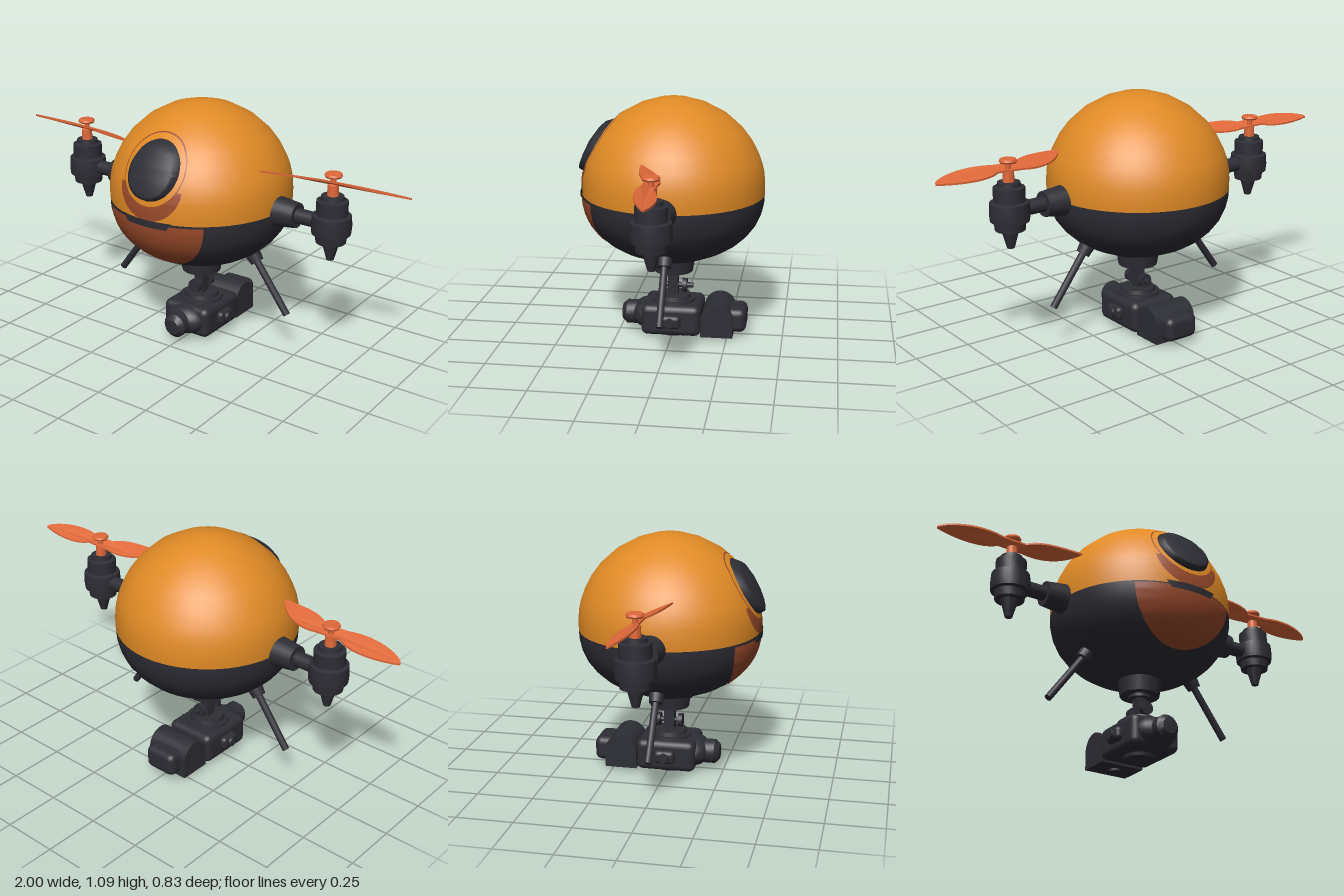
import * as THREE from 'three';
import { RoundedBoxGeometry } from 'three/addons/geometries/RoundedBoxGeometry.js';
import { toCreasedNormals } from 'three/addons/utils/BufferGeometryUtils.js';

const material = (name, color, side = THREE.FrontSide) => {
  const m = new THREE.MeshStandardMaterial({ color, side });
  m.name = name;
  return m;
};

// body outline as [radius, height]
const LOWER = [[0, 0.352], [0.08, 0.358], [0.158, 0.375], [0.24, 0.41], [0.294, 0.443], [0.338, 0.483],
  [0.372, 0.528], [0.393, 0.575], [0.404, 0.622], [0.406, 0.66]];
const UPPER = [[0.406, 0.66], [0.407, 0.7], [0.403, 0.75], [0.394, 0.79], [0.38, 0.83], [0.35, 0.89],
  [0.308, 0.947], [0.236, 1.012], [0.147, 1.06], [0.07, 1.083], [0, 1.09]];
const OUTLINE = [...LOWER, ...UPPER.slice(1)];

function radiusAt(y) {
  let i = 1;
  while (i < OUTLINE.length - 1 && OUTLINE[i][1] < y) i++;
  const [r0, y0] = OUTLINE[i - 1], [r1, y1] = OUTLINE[i];
  return r0 + (r1 - r0) * (y - y0) / (y1 - y0);
}

const lathe = (points, segments) => toCreasedNormals(
  new THREE.LatheGeometry(points.map(([r, y]) => new THREE.Vector2(r, y)), segments), 0.6);

// sheet between two outlines in the front plane, wrapped onto the body
function bodyPatch(inner, outer, lift, nt = 48, ns = 10) {
  const pos = [], idx = [];
  for (let j = 0; j <= ns; j++) for (let i = 0; i <= nt; i++) {
    const s = j / ns, a = inner(i / nt), b = outer(i / nt);
    const x = a[0] + (b[0] - a[0]) * s, y = a[1] + (b[1] - a[1]) * s;
    const z = Math.sqrt(Math.max(0, radiusAt(y) ** 2 - x * x));
    pos.push(x, y, z + lift(s));
    if (i < nt && j < ns) {
      const k = j * (nt + 1) + i, m = k + nt + 1;
      idx.push(k, m, k + 1, k + 1, m, m + 1);
    }
  }
  const g = new THREE.BufferGeometry();
  g.setAttribute('position', new THREE.Float32BufferAttribute(pos, 3));
  g.setIndex(idx);
  g.computeVertexNormals();
  return g;
}

const arc = (cx, cy, rx, ry, from, to) => t => {
  const a = THREE.MathUtils.degToRad(from + (to - from) * t);
  return [cx + rx * Math.cos(a), cy + ry * Math.sin(a)];
};
const line = (x0, x1, y) => t => [x0 + (x1 - x0) * t, y];

// two-bladed propeller lying around its hub, pitched across its width
function propellerGeometry() {
  const s = new THREE.Shape();
  s.moveTo(-0.3, 0.088);
  s.bezierCurveTo(-0.26, 0.02, -0.17, -0.03, -0.06, -0.02);
  s.lineTo(0.06, -0.02);
  s.bezierCurveTo(0.12, -0.06, 0.25, -0.05, 0.34, -0.026);
  s.bezierCurveTo(0.36, -0.01, 0.22, 0.065, 0.06, 0.03);
  s.lineTo(-0.05, 0.03);
  s.bezierCurveTo(-0.1, 0.075, -0.2, 0.08, -0.3, 0.088);
  const g = new THREE.ExtrudeGeometry(s, { depth: 0.008, bevelEnabled: false, curveSegments: 14 });
  g.rotateX(Math.PI / 2);
  const p = g.attributes.position;
  for (let i = 0; i < p.count; i++) {
    const axis = p.getX(i) < 0 ? -p.getX(i) * 0.2 : 0;
    p.setY(i, p.getY(i) + 0.35 * (p.getZ(i) - axis));
  }
  g.computeVertexNormals();
  return g;
}

export function createModel() {
  const root = new THREE.Group();
  const orange = material('shell orange', 0xe08a25);
  const dark = material('charcoal', 0x2d2d35);
  const darkSheet = material('charcoal sheet', 0x2d2d35, THREE.DoubleSide);
  const rust = material('rust panel', 0x9a4a2a, THREE.DoubleSide);
  const coral = material('propeller coral', 0xe0693a, THREE.DoubleSide);

  function add(parent, name, geometry, mat, x = 0, y = 0, z = 0) {
    const m = new THREE.Mesh(geometry, mat);
    m.name = name;
    m.position.set(x, y, z);
    parent.add(m);
    return m;
  }
  const cyl = (top, bottom, h, n = 24) => new THREE.CylinderGeometry(top, bottom, h, n);

  // body shells
  const smoothLathe = pts => new THREE.LatheGeometry(pts.map(p => new THREE.Vector2(...p)), 48);
  add(root, 'upperShell', smoothLathe(UPPER), orange);
  add(root, 'lowerShell', smoothLathe(LOWER), dark);

  // front face
  add(root, 'eyeLens', bodyPatch(() => [0, 0.865], arc(0, 0.865, 0.124, 0.118, 0, 360),
    s => (s > 0.95 ? 0 : 0.024)), darkSheet);
  add(root, 'eyeRim', bodyPatch(arc(0, 0.865, 0.146, 0.14, 0, 360), arc(0, 0.865, 0.151, 0.145, 0, 360),
    () => 0.003, 48, 1), rust);
  add(root, 'crescentPanel', bodyPatch(arc(0, 0.865, 0.146, 0.14, 207, 333), arc(0, 0.8, 0.155, 0.138, 180, 360),
    () => 0.004), rust);
  add(root, 'chinPanel', bodyPatch(line(-0.24, 0.24, 0.652), arc(0, 0.652, 0.242, 0.227, 180, 360),
    () => 0.005), rust);
  add(root, 'frontSlot', bodyPatch(line(-0.125, 0.125, 0.668), line(-0.1, 0.1, 0.636), () => 0.009), darkSheet);

  // arms, motors, propellers and legs on both sides
  const motorProfile = [[0, 0.505], [0.016, 0.505], [0.038, 0.585], [0.064, 0.585], [0.068, 0.62], [0.083, 0.625],
    [0.086, 0.66], [0.083, 0.705], [0.067, 0.71], [0.067, 0.77], [0.05, 0.775], [0.048, 0.792], [0, 0.792]];
  const hubProfile = [[0.025, 0.785], [0.023, 0.84], [0.012, 0.845], [0.012, 0.872], [0.034, 0.873],
    [0.038, 0.88], [0.034, 0.889], [0, 0.891]];
  for (const side of [1, -1]) {
    const label = side > 0 ? 'left' : 'right';
    const g = new THREE.Group();
    g.name = label + 'Rotor';
    root.add(g);
    add(g, 'armSocket', cyl(0.055, 0.07, 0.13), dark, side * 0.432, 0.665).rotation.z = -side * Math.PI / 2;
    add(g, 'arm', cyl(0.033, 0.033, 0.15), dark, side * 0.55, 0.665).rotation.z = -side * Math.PI / 2;
    add(g, 'motor', lathe(motorProfile, 24), dark, side * 0.66);
    add(g, 'hub', lathe(hubProfile, 20), coral, side * 0.66);
    const prop = add(g, 'propeller', propellerGeometry(), coral, side * 0.66, 0.855, 0);
    prop.scale.x = side;

    const leg = new THREE.Group();
    leg.name = label + 'Leg';
    leg.position.set(side * 0.28, 0.43, 0);
    leg.rotation.z = side * Math.atan2(0.175, 0.24);
    root.add(leg);
    add(leg, 'legStrut', cyl(0.016, 0.016, 0.31, 12), dark, 0, -0.147);
    add(leg, 'legCollar', cyl(0.036, 0.03, 0.05, 16), dark, 0, -0.01);
  }

  // gimbal below the body
  const gimbal = new THREE.Group();
  gimbal.name = 'gimbal';
  root.add(gimbal);
  add(gimbal, 'mount', cyl(0.1, 0.088, 0.08, 20), dark, 0, 0.335);
  add(gimbal, 'mountPlate', cyl(0.05, 0.05, 0.015), dark, 0, 0.289);
  add(gimbal, 'neck', new THREE.BoxGeometry(0.045, 0.11, 0.045), dark, 0, 0.23);
  add(gimbal, 'axle', cyl(0.012, 0.012, 0.15, 12), dark, 0, 0.225, -0.015).rotation.x = Math.PI / 2;
  for (const z of [0.05, -0.052])
    add(gimbal, 'axleDisc', cyl(0.031, 0.031, 0.02, 20), dark, 0, 0.225, z).rotation.x = Math.PI / 2;
  add(gimbal, 'topPlate', cyl(0.075, 0.08, 0.02), dark, 0, 0.175);
  add(gimbal, 'lowerPlate', cyl(0.098, 0.1, 0.014), dark, 0, 0.16);

  // camera
  const camera = new THREE.Group();
  camera.name = 'camera';
  root.add(camera);
  add(camera, 'cameraBody', new RoundedBoxGeometry(0.24, 0.142, 0.27, 3, 0.03), dark, 0, 0.086, 0);
  add(camera, 'lensBarrel', new THREE.SphereGeometry(1, 28, 16), dark, 0, 0.088, 0.115).scale.set(0.1, 0.068, 0.075);
  const nose = lathe([[0.055, -0.04], [0.055, 0.025], [0.035, 0.046], [0, 0.05]], 24);
  add(camera, 'lens', nose, dark, 0, 0.086, 0.187).rotation.x = Math.PI / 2;
  for (const side of [1, -1]) {
    add(camera, 'sideKnob', new RoundedBoxGeometry(0.05, 0.062, 0.096, 3, 0.02), dark, side * 0.122, 0.088, 0);
    add(camera, 'knobCap', cyl(0.02, 0.025, 0.02, 16), dark, side * 0.146, 0.088, 0).rotation.z = -side * Math.PI / 2;
  }

  // arched rear block, extruded across the camera
  const arch = new THREE.Shape();
  arch.moveTo(0.072, 0.014);
  arch.lineTo(0.072, 0.095);
  arch.absarc(0, 0.096, 0.072, 0, Math.PI, false);
  arch.lineTo(-0.072, 0.014);
  const rear = new THREE.ExtrudeGeometry(arch, { depth: 0.21, bevelEnabled: false, curveSegments: 16 });
  rear.translate(0, 0, -0.105);
  rear.rotateY(Math.PI / 2);
  add(camera, 'rearBlock', toCreasedNormals(rear, 0.6), dark, 0, 0, -0.207);
  add(camera, 'rearCap', new RoundedBoxGeometry(0.16, 0.11, 0.1, 3, 0.03), dark, 0, 0.085, -0.287);
  add(camera, 'basePlate', cyl(0.072, 0.068, 0.018), dark, 0, 0.009);
  add(camera, 'rearFoot', cyl(0.027, 0.027, 0.014, 16), dark, 0, 0.01, -0.2);
  return root;
}
